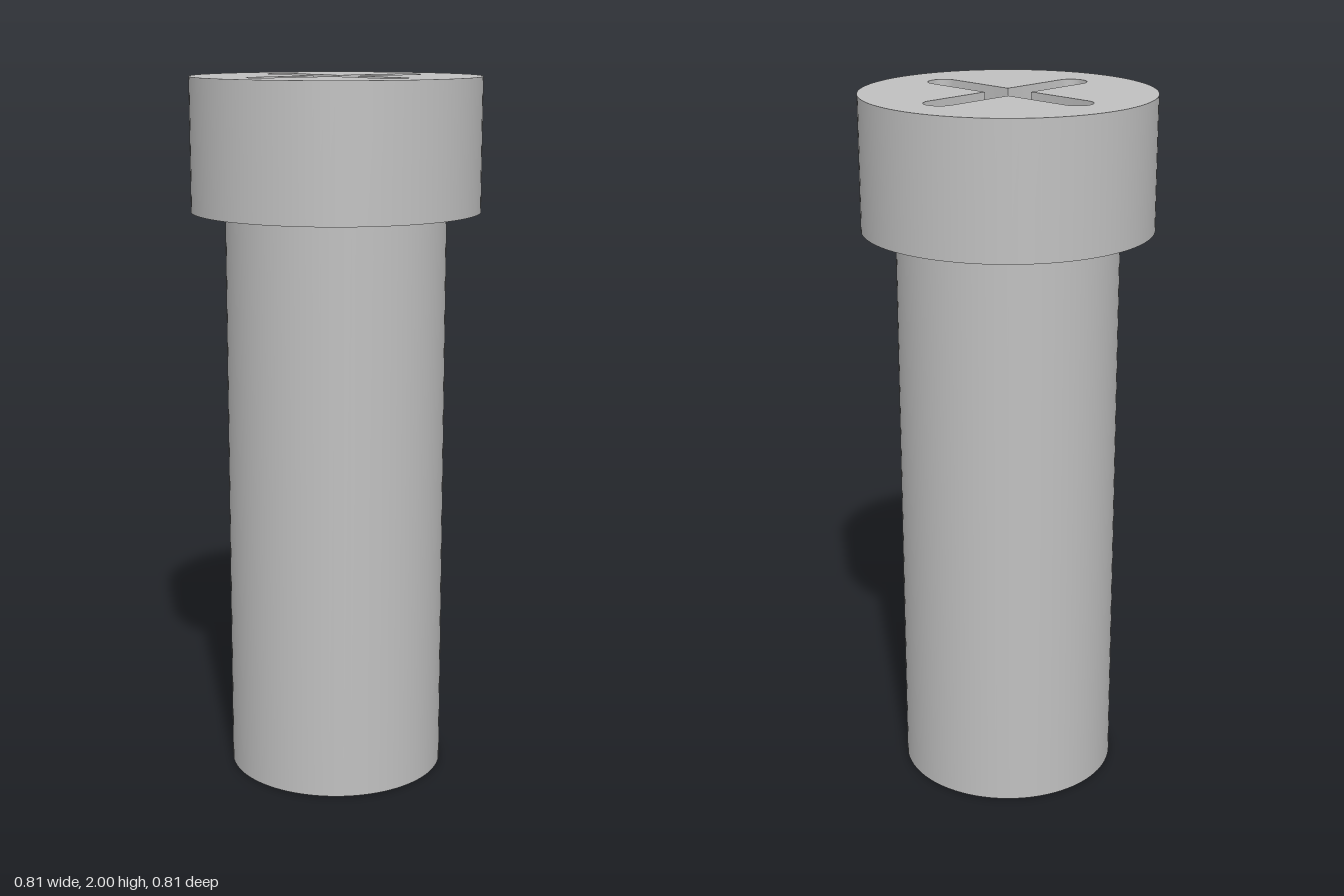
import * as THREE from 'three';
import { toCreasedNormals } from 'three/addons/utils/BufferGeometryUtils.js';

const SEGMENTS = 96;
const SHAFT_R = 0.31, HEAD_R = 0.405;
const HEAD_Y = 1.63, TOP_Y = 2, SLOT_DEPTH = 0.18;
const SLOT_HALF = 0.044, SLOT_REACH = 0.295;

// Counter-clockwise outline of a cross with rounded arm ends
function crossOutline() {
  const points = [];
  const origin = new THREE.Vector2();
  for (let arm = 0; arm < 4; arm++) {
    const turn = arm * Math.PI / 2;
    const add = (x, y) => points.push(new THREE.Vector2(x, y).rotateAround(origin, turn));
    add(SLOT_HALF, -SLOT_HALF);
    for (let i = 0; i <= 16; i++) {
      const a = -Math.PI / 2 + Math.PI * i / 16;
      add(SLOT_REACH - SLOT_HALF + SLOT_HALF * Math.cos(a), SLOT_HALF * Math.sin(a));
    }
  }
  return points;
}

// Inward-facing walls that follow an outline down to the given depth
function slotWalls(points, depth) {
  const positions = [];
  points.forEach((a, i) => {
    const b = points[(i + 1) % points.length];
    positions.push(a.x, a.y, -depth, b.x, b.y, 0, b.x, b.y, -depth);
    positions.push(a.x, a.y, -depth, a.x, a.y, 0, b.x, b.y, 0);
  });
  const geometry = new THREE.BufferGeometry();
  geometry.setAttribute('position', new THREE.Float32BufferAttribute(positions, 3));
  return toCreasedNormals(geometry, 0.5);
}

export function createModel() {
  const model = new THREE.Group();
  model.name = 'screw';
  const steel = new THREE.MeshStandardMaterial({ color: 0xc0c0c0 });
  steel.name = 'steel grey';

  const add = (name, geometry, y, parent) => {
    const mesh = new THREE.Mesh(geometry, steel);
    mesh.name = name;
    mesh.position.y = y;
    parent.add(mesh);
  };
  const flat = (geometry) => geometry.rotateX(-Math.PI / 2);

  // Plain shaft with a flat end
  const shaft = new THREE.Group();
  shaft.name = 'shaft';
  add('shaftSide', new THREE.CylinderGeometry(SHAFT_R, SHAFT_R, HEAD_Y, SEGMENTS, 1, true), HEAD_Y / 2, shaft);
  add('shaftEnd', new THREE.CircleGeometry(SHAFT_R, SEGMENTS).rotateX(Math.PI / 2), 0, shaft);

  // Cylindrical head with a cross slot in its top
  const head = new THREE.Group();
  head.name = 'head';
  const height = TOP_Y - HEAD_Y;
  add('headSide', new THREE.CylinderGeometry(HEAD_R, HEAD_R, height, SEGMENTS, 1, true), HEAD_Y + height / 2, head);
  add('headUnderside', new THREE.RingGeometry(SHAFT_R, HEAD_R, SEGMENTS).rotateX(Math.PI / 2), HEAD_Y, head);

  const outline = crossOutline();
  const disc = new THREE.Shape().absarc(0, 0, HEAD_R, 0, Math.PI * 2, false);
  disc.holes.push(new THREE.Path(outline));
  add('headTop', flat(new THREE.ShapeGeometry(disc, SEGMENTS / 2)), TOP_Y, head);
  add('slotWalls', flat(slotWalls(outline, SLOT_DEPTH)), TOP_Y, head);
  add('slotFloor', flat(new THREE.ShapeGeometry(new THREE.Shape(outline))), TOP_Y - SLOT_DEPTH, head);

  model.add(shaft, head);
  return model;
}
